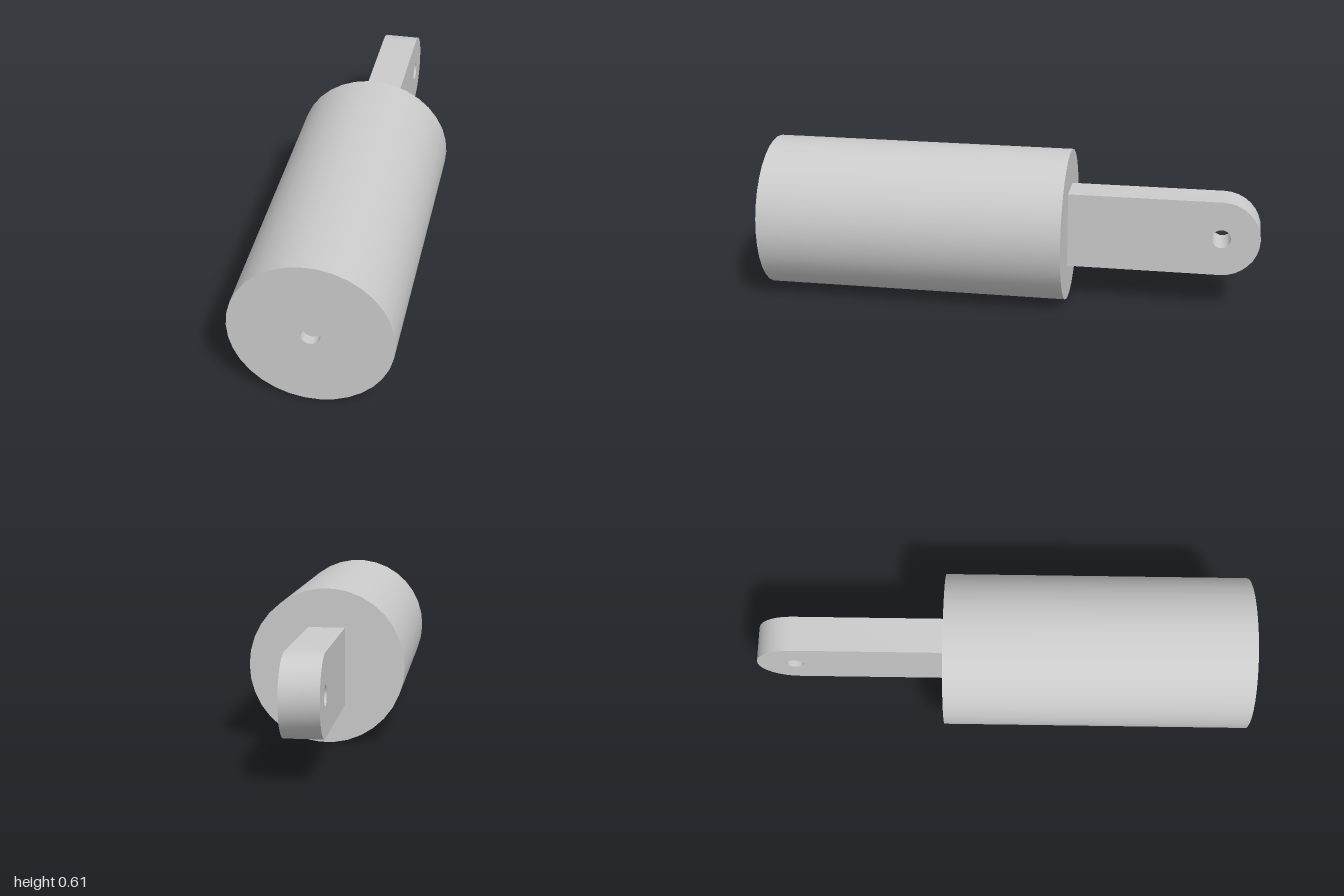
import * as THREE from 'three';
import { toCreasedNormals } from 'three/addons/utils/BufferGeometryUtils.js';

const U = 1 / 13; // design unit: 26 units along the whole length
const R = 4 * U;
const Y = R * Math.cos(Math.PI / 34); // axis height, body rests on a flat facet

// Corner points of a regular polygon
function ring(radius, sides, cx = 0, cy = 0) {
  return Array.from({ length: sides }, (_, i) => {
    const a = (i / sides) * Math.PI * 2;
    return new THREE.Vector2(cx + radius * Math.cos(a), cy + radius * Math.sin(a));
  });
}

function extrude(shape, depth) {
  const geo = new THREE.ExtrudeGeometry(shape, { depth, bevelEnabled: false });
  return toCreasedNormals(geo, 0.6);
}

export function createModel() {
  const group = new THREE.Group();
  const material = new THREE.MeshStandardMaterial({ color: 0xcccccc });
  const add = (name, geometry) => {
    const mesh = new THREE.Mesh(geometry, material);
    mesh.name = name;
    group.add(mesh);
    return mesh;
  };

  // Cylindrical body with a bore on its axis
  const bodyShape = new THREE.Shape(ring(R, 34));
  bodyShape.holes.push(new THREE.Path(ring(U / 2, 14)));
  add('body', extrude(bodyShape, 16 * U)).position.set(0, Y, 1 - 16 * U);

  // Floor that makes the front bore a shallow recess
  const floorShape = new THREE.Shape(ring(U / 2, 14));
  add('recessFloor', new THREE.ShapeGeometry(floorShape)).position.set(0, Y, 1 - U / 2);

  // Flat rear arm with a rounded end and a cross hole; shape x runs backwards
  const start = 16 * U - 1, eye = 1 - 2 * U, thickness = 0.146;
  const armShape = new THREE.Shape();
  armShape.moveTo(start, 2 * U);
  armShape.lineTo(start, -2 * U);
  for (let i = 0; i <= 16; i++) {
    const a = -Math.PI / 2 + (i / 16) * Math.PI;
    armShape.lineTo(eye + 2 * U * Math.cos(a), 2 * U * Math.sin(a));
  }
  armShape.closePath();
  armShape.holes.push(new THREE.Path(ring(U / 2, 14, eye)));
  const armGeo = extrude(armShape, thickness).rotateY(Math.PI / 2);
  add('arm', armGeo).position.set(-thickness / 2, Y, 0);

  return group;
}
